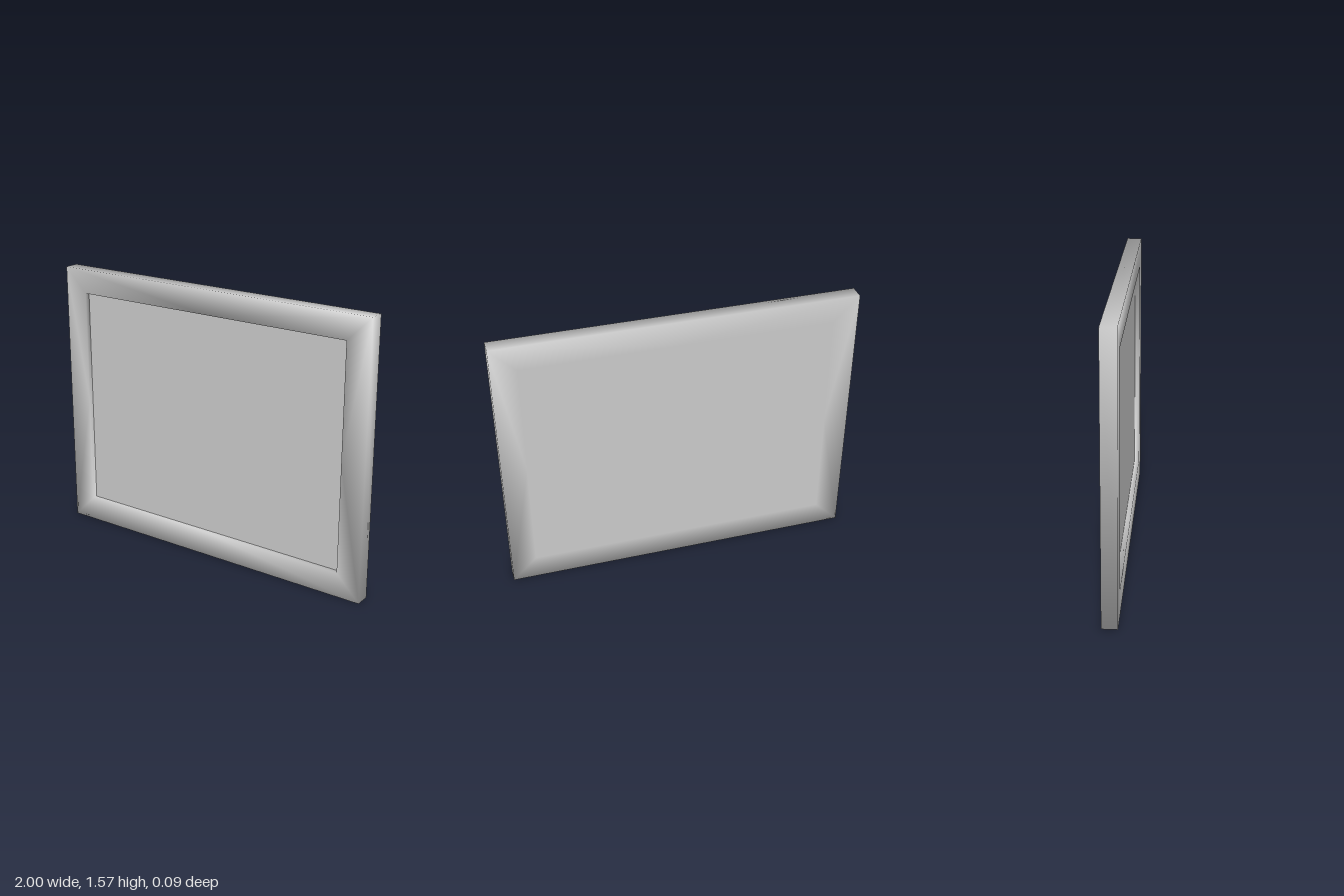
import * as THREE from 'three';

const W = 1, H = 0.785, D = 0.043;       // half width, half height, half depth
const BORDER = 0.14, PANEL_Z = 0.013;    // moulding width, depth of the recessed panel
const CORNERS = [[1, 1], [-1, 1], [-1, -1], [1, -1]];

// Smooth-shaded moulding: four outer corners, eight inner points (corners and side middles)
function frameGeometry() {
  const pos = [], nor = [], idx = [];
  const add = (x, y, z, n) => {
    pos.push(x, y + H, z);
    nor.push(...new THREE.Vector3(...n).normalize().toArray());
  };
  const outerRing = (z, nz) => CORNERS.forEach(([x, y]) => add(x * W, y * H, z, [x, y, nz]));
  const innerRing = (z, cornerIn, midIn, nz) => CORNERS.forEach(([x, y], k) => {
    const [u, v] = CORNERS[(k + 1) % 4];
    const w = W - BORDER, h = H - BORDER;
    const mx = (x + u) / 2, my = (y + v) / 2;
    add(x * w, y * h, z, [-x * cornerIn, -y * cornerIn, nz]);
    add(mx * w, my * h, z, [-mx * midIn, -my * midIn, nz]);
  });
  outerRing(D, 1);                    // 0-3   front outer
  outerRing(-D, -1);                  // 4-7   back outer
  innerRing(D, 0.3, 1, 1);            // 8-15  front inner lip
  innerRing(PANEL_Z, 1, 1, 0.3);      // 16-23 foot of the inner wall
  innerRing(-D, 0, 0, -1);            // 24-31 back inner

  for (let k = 0; k < 4; k++) {
    const n = (k + 1) % 4;
    const a = 8 + 2 * k, m = a + 1, b = 8 + 2 * n;
    // front border
    idx.push(k, n, m, k, m, a, n, b, m);
    // back border
    idx.push(k + 4, m + 16, n + 4, k + 4, a + 16, m + 16, n + 4, m + 16, b + 16);
    // outer edge
    idx.push(k, k + 4, n, n, k + 4, n + 4);
    // inner wall
    for (const [p, q] of [[a, m], [m, b]]) idx.push(p, q, p + 8, q, q + 8, p + 8);
  }
  // flat middle of the back
  idx.push(24, 28, 26, 24, 30, 28);

  const geo = new THREE.BufferGeometry();
  geo.setAttribute('position', new THREE.Float32BufferAttribute(pos, 3));
  geo.setAttribute('normal', new THREE.Float32BufferAttribute(nor, 3));
  geo.setIndex(idx);
  return geo;
}

export function createModel() {
  const group = new THREE.Group();
  group.name = 'pictureFrame';
  const material = new THREE.MeshStandardMaterial({ color: 0xcccccc });

  const frame = new THREE.Mesh(frameGeometry(), material);
  frame.name = 'frame';

  // recessed picture surface
  const panel = new THREE.Mesh(new THREE.PlaneGeometry(2 * (W - BORDER), 2 * (H - BORDER)), material);
  panel.name = 'picturePanel';
  panel.position.set(0, H, PANEL_Z);

  group.add(frame, panel);
  return group;
}
